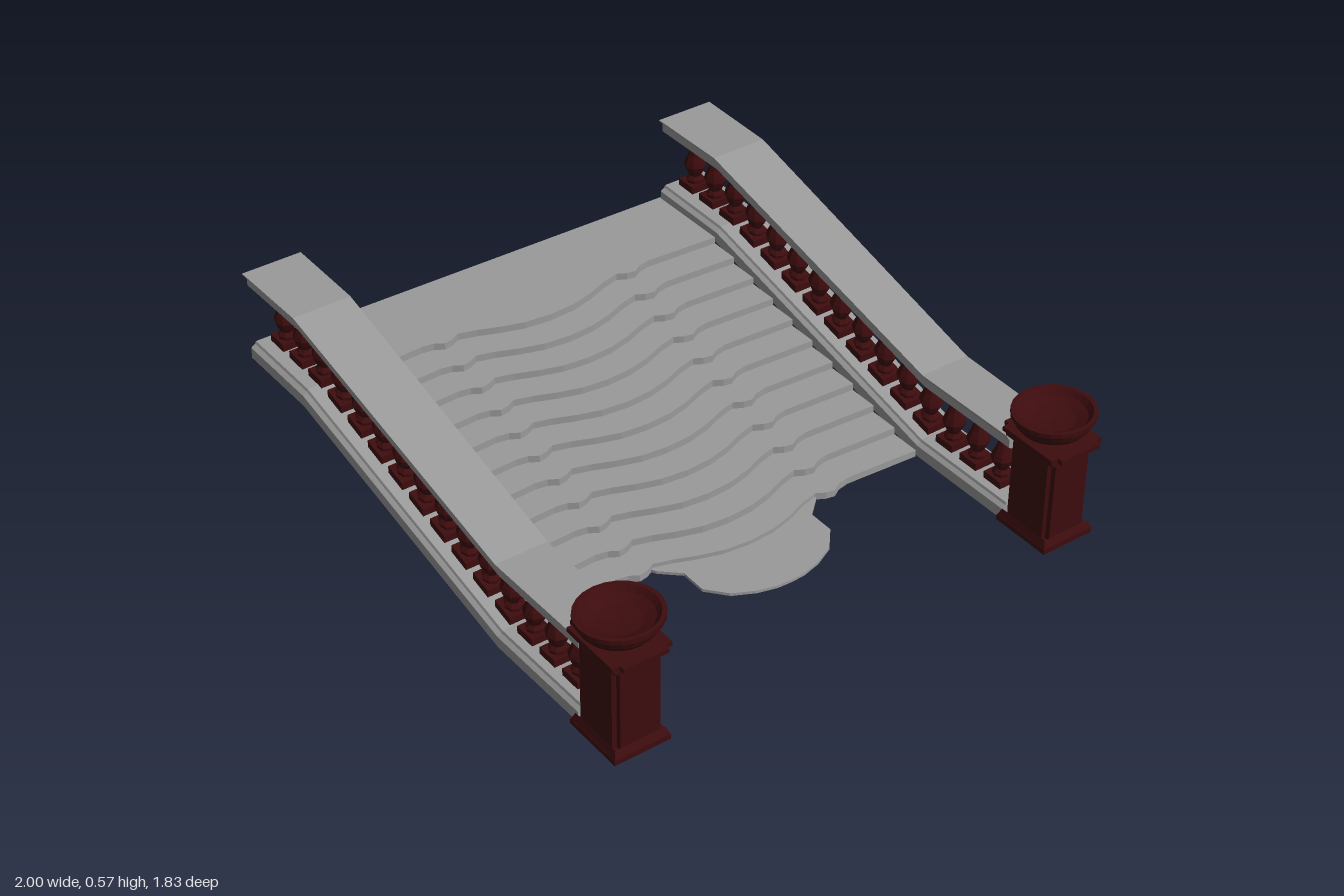
import * as THREE from 'three';

const stone = new THREE.MeshStandardMaterial({ color: 0x9a9a9a, flatShading: true });
const red = new THREE.MeshStandardMaterial({ color: 0x3d0c0e, flatShading: true });

function add(parent, name, geometry, material, x = 0, y = 0, z = 0) {
  const mesh = new THREE.Mesh(geometry, material);
  mesh.name = name;
  mesh.position.set(x, y, z);
  parent.add(mesh);
  return mesh;
}

// Skin through equal rings of [x, y, z] with capped ends; u is the cap's horizontal axis
function loft(rings, u) {
  const pos = [];
  const n = rings[0].length;
  for (let r = 0; r + 1 < rings.length; r++) {
    const a = rings[r], b = rings[r + 1];
    for (let i = 0; i < n; i++) {
      const j = (i + 1) % n;
      pos.push(...a[i], ...b[i], ...b[j], ...a[i], ...b[j], ...a[j]);
    }
  }
  const last = rings.length - 1;
  for (const [ring, sign] of [[rings[0], -1], [rings[last], 1]]) {
    const flat = ring.map(p => new THREE.Vector2(p[u], p[1]));
    for (const [i, j, k] of THREE.ShapeUtils.triangulateShape(flat, [])) {
      const area = flat[j].clone().sub(flat[i]).cross(flat[k].clone().sub(flat[i]));
      const facing = area * (u === 0 ? 1 : -1);
      pos.push(...ring[i], ...(facing * sign > 0 ? [...ring[j], ...ring[k]] : [...ring[k], ...ring[j]]));
    }
  }
  const g = new THREE.BufferGeometry();
  g.setAttribute('position', new THREE.Float32BufferAttribute(pos, 3));
  g.computeVertexNormals();
  return g;
}

function lathe(points, segments) {
  return new THREE.LatheGeometry(points.map(p => new THREE.Vector2(...p)), segments);
}

// Height along a path of [x, y] points
function heightAt(path, x) {
  for (let i = 1; i < path.length; i++) {
    const [x0, y0] = path[i - 1], [x1, y1] = path[i];
    if (x <= x1) return y0 + (y1 - y0) * (x - x0) / (x1 - x0);
  }
  return path[path.length - 1][1];
}

// Stairs: one stepped profile swept across a wavy nosing line
function stairs() {
  const steps = 11, rise = 0.265 / steps, run = 0.1048;
  const nosing = [[-0.69, -0.668], [-0.43, -0.683], [-0.39, -0.675], [-0.36, -0.657], [-0.33, -0.663],
    [-0.30, -0.68], [-0.24, -0.665], [-0.17, -0.637], [-0.09, -0.617], [0, -0.612], [0.09, -0.622],
    [0.17, -0.647], [0.24, -0.675], [0.30, -0.693], [0.33, -0.677], [0.36, -0.672], [0.39, -0.69],
    [0.43, -0.697], [0.69, -0.685]];
  const rings = nosing.map(([z, edge]) => {
    const back = -0.988 - 0.0176 * z;
    const ring = [[back, 0, z], [back, 0.265, z]];
    for (let k = 0; k < steps; k++) {
      const x = edge + k * run;
      ring.push([x, 0.265 - k * rise, z], [x, 0.265 - (k + 1) * rise, z]);
    }
    return ring;
  });
  return loft(rings, 0);
}

// Rounded landing at the foot of the stairs
function landing() {
  const half = [[0.34, 0.32], [0.375, 0.3], [0.43, 0.24], [0.52, 0.24], [0.585, 0.185],
    [0.62, 0.115], [0.637, 0.05], [0.64, 0]];
  const outline = [...half, ...half.slice(0, -1).reverse().map(([x, z]) => [x, -z])];
  const shape = new THREE.Shape(outline.map(p => new THREE.Vector2(...p)));
  const g = new THREE.ExtrudeGeometry(shape, { depth: 0.01, bevelEnabled: false });
  g.rotateX(-Math.PI / 2);
  return g;
}

const topPath = [[-0.97, 0.57], [-0.67, 0.57], [0.39, 0.315], [0.775, 0.315]];
const lowPath = [[-0.97, 0.31], [-0.66, 0.305], [0.38, 0.057], [0.775, 0.057]];
const slimAt = x => 0.103 - 0.0105 * (x + 0.97);
const centreAt = x => 0.784 - 0.004 * (x + 0.97);

// Rail: half profile of [width fraction, drop below the path], bottom to top
function rail(path, profile, side) {
  const rings = path.map(([x, y]) => {
    const half = (s, [w, drop]) => [x, y - drop, side * centreAt(x) + s * w * slimAt(x)];
    return [...profile.map(p => half(1, p)), ...[...profile].reverse().map(p => half(-1, p))];
  });
  return loft(rings, 2);
}
const topProfile = [[0.74, 0.055], [0.86, 0.048], [0.86, 0.02], [1, 0.004], [1, 0]];
const lowProfile = [[0.94, 0.056], [0.94, 0.018], [0.8, 0.008], [0.76, 0]];

// Balusters: turned vase between square blocks, sheared to follow the slope
const vase = [[0.028, 0.022], [0.03, 0.034], [0.02, 0.046], [0.03, 0.064], [0.038, 0.084],
  [0.034, 0.1], [0.024, 0.122], [0.016, 0.146], [0.025, 0.154], [0.024, 0.163],
  [0.017, 0.169], [0.026, 0.182]];
function baluster(parent, x, side) {
  const floor = heightAt(lowPath, x);
  const height = heightAt(topPath, x) - 0.052 - floor;
  const slope = (heightAt(lowPath, x + 0.02) - heightAt(lowPath, x - 0.02)) / 0.04;
  const group = new THREE.Group();
  group.name = 'baluster';
  group.position.set(x, floor, side * centreAt(x));
  const block = (w, h, y) => new THREE.BoxGeometry(w, h, w).translate(0, y, 0);
  const parts = [['plinth', block(0.076, 0.028, 0.01)], ['vase', lathe(vase, 8)],
    ['capBlock', block(0.054, 0.026, 0.193)]];
  for (const [name, g] of parts) {
    g.scale(1, height / 0.203, 1);
    g.applyMatrix4(new THREE.Matrix4().makeShear(slope, 0, 0, 0, 0, 0));
    add(group, name, g, red);
  }
  parent.add(group);
}

// Newel post: square moulded pier with notched corners and a bowl on top
const bowl = [[0, 0.345], [0.07, 0.345], [0.062, 0.356], [0.08, 0.363], [0.1, 0.376], [0.113, 0.392],
  [0.12, 0.412], [0.127, 0.418], [0.127, 0.433], [0.114, 0.433], [0.1, 0.415], [0.065, 0.4], [0, 0.394]];
function post(side) {
  const group = new THREE.Group();
  group.name = side > 0 ? 'leftPost' : 'rightPost';
  group.position.set(0.872, 0, side * 0.781);
  const slab = (name, w, d, y0, y1) =>
    add(group, name, new THREE.BoxGeometry(w, y1 - y0, d), red, 0, (y0 + y1) / 2, 0);
  slab('foot', 0.215, 0.19, 0, 0.018);
  // tapered base moulding
  const base = lathe([[0.5, 0.018], [0.45, 0.042]], 4);
  base.rotateY(Math.PI / 4).scale(0.3, 1, 0.265);
  add(group, 'baseMoulding', base, red);
  slab('shaft', 0.186, 0.13, 0.03, 0.33);
  slab('shaftPanel', 0.152, 0.162, 0.03, 0.33);
  slab('collar', 0.205, 0.178, 0.318, 0.336);
  slab('cap', 0.252, 0.15, 0.335, 0.35);
  slab('capPanel', 0.215, 0.198, 0.335, 0.35);
  add(group, 'bowl', lathe(bowl, 24), red).scale.set(0.985, 1, 1.04);
  return group;
}

export function createModel() {
  const model = new THREE.Group();
  model.name = 'staircase';
  add(model, 'stairs', stairs(), stone);
  add(model, 'landing', landing(), stone);
  for (const side of [1, -1]) {
    const balustrade = new THREE.Group();
    balustrade.name = side > 0 ? 'leftBalustrade' : 'rightBalustrade';
    add(balustrade, 'topRail', rail(topPath, topProfile, side), stone);
    add(balustrade, 'bottomRail', rail(lowPath, lowProfile, side), stone);
    for (let i = 0; i < 15; i++) baluster(balustrade, -0.908 + i * 0.1132, side);
    model.add(balustrade, post(side));
  }
  return model;
}
